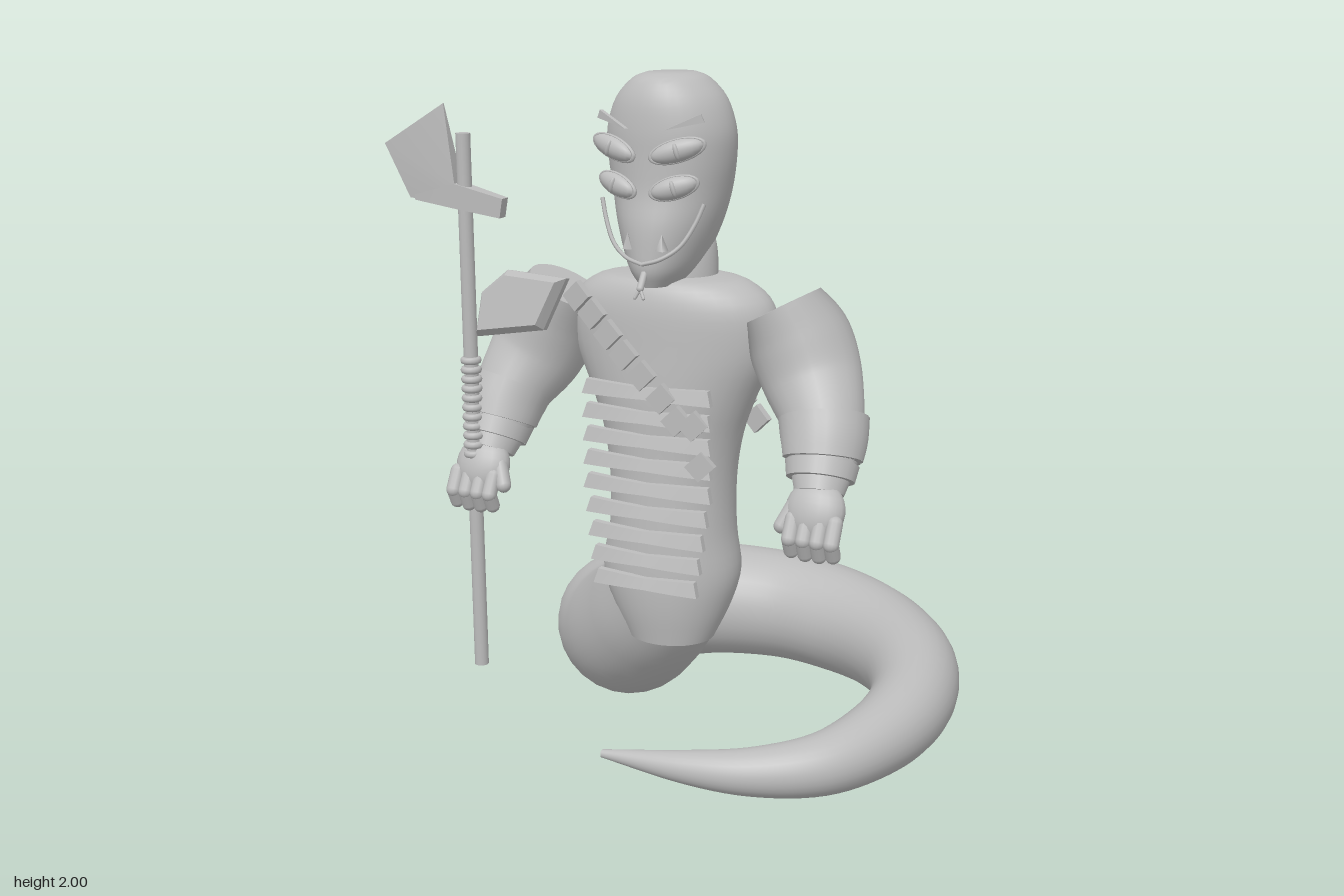
import * as THREE from 'three';
import { toCreasedNormals } from 'three/addons/utils/BufferGeometryUtils.js';
import { ConvexGeometry } from 'three/addons/geometries/ConvexGeometry.js';

const V = (x, y, z) => new THREE.Vector3(x, y, z);
const grey = new THREE.MeshStandardMaterial({ color: 0xbcbcbc });
grey.name = 'stoneGrey';

function part(name, geo, parent) {
  const m = new THREE.Mesh(geo, grey);
  m.name = name;
  parent.add(m);
  return m;
}

// Rings [y, cx, cz, rx, rz], top to bottom, as smooth curves
function makeProfile(rings) {
  const centre = new THREE.CatmullRomCurve3(rings.map(r => V(r[1], r[0], r[2])), false, 'catmullrom');
  const radius = new THREE.CatmullRomCurve3(rings.map(r => V(r[3], 0, r[4])), false, 'catmullrom');
  return t => ({ c: centre.getPoint(t), r: radius.getPoint(t) });
}

// Elliptical loft with flat end caps
function loft(profile, steps) {
  const geo = new THREE.CylinderGeometry(1, 1, 1, 36, steps);
  const p = geo.attributes.position;
  for (let i = 0; i < p.count; i++) {
    const { c, r } = profile(THREE.MathUtils.clamp(0.5 - p.getY(i), 0, 1));
    p.setXYZ(i, c.x + p.getX(i) * r.x, c.y, c.z + p.getZ(i) * r.z);
  }
  return toCreasedNormals(geo, 0.8);
}

// z of a loft's surface at x, y; side is 1 for front and -1 for back
function surfaceZ(profile, x, y, side = 1) {
  let a = 0, b = 1;
  for (let i = 0; i < 25; i++) {
    const m = (a + b) / 2;
    if (profile(m).c.y > y) a = m; else b = m;
  }
  const { c, r } = profile(a);
  return c.z + side * r.z * Math.sqrt(Math.max(0.02, 1 - ((x - c.x) / r.x) ** 2));
}

// Lay a mesh on a loft, facing outwards
function attach(mesh, profile, x, y, side, lift) {
  const e = 0.01, z = (u, v) => surfaceZ(profile, u, v, side);
  const n = V((z(x - e, y) - z(x + e, y)) / (2 * e), (z(x, y - e) - z(x, y + e)) / (2 * e), 1);
  n.multiplyScalar(side).normalize();
  mesh.position.set(x, y, z(x, y)).addScaledVector(n, lift);
  mesh.lookAt(mesh.position.clone().add(n));
}

// Round tube through points [x, y, z, radius] with discs on its ends
function taperTube(name, pts, steps, sides, parent) {
  const curve = new THREE.CatmullRomCurve3(pts.map(p => V(p[0], p[1], p[2])), false, 'catmullrom');
  const radii = new THREE.CatmullRomCurve3(pts.map(p => V(p[3], 0, 0)), false, 'catmullrom');
  const geo = new THREE.TubeGeometry(curve, steps, 1, sides);
  const p = geo.attributes.position, v = V(0, 0, 0);
  for (let i = 0; i < p.count; i++) {
    const u = Math.floor(i / (sides + 1)) / steps;
    const c = curve.getPointAt(u), r = radii.getPoint(curve.getUtoTmapping(u)).x;
    v.fromBufferAttribute(p, i).sub(c).multiplyScalar(r).add(c);
    p.setXYZ(i, v.x, v.y, v.z);
  }
  part(name, geo, parent);
  for (const u of [0, 1]) {
    const end = part(name + 'End', new THREE.CircleGeometry(pts[u ? pts.length - 1 : 0][3], sides), parent);
    end.position.copy(curve.getPointAt(u));
    end.lookAt(end.position.clone().addScaledVector(curve.getTangentAt(u), u ? 1 : -1));
  }
}

function capsule(name, a, b, r, parent) {
  const d = b.clone().sub(a);
  const m = part(name, new THREE.CapsuleGeometry(r, d.length(), 5, 12), parent);
  m.position.copy(a).addScaledVector(d, 0.5);
  m.quaternion.setFromUnitVectors(V(0, 1, 0), d.normalize());
}

function plate(points, depth) {
  const s = new THREE.Shape(points.map(p => new THREE.Vector2(p[0], p[1])));
  return new THREE.ExtrudeGeometry(s, { depth, bevelEnabled: false });
}

// Sharp-edged solid around points [x, y, z]
const solid = pts => toCreasedNormals(new ConvexGeometry(pts.map(p => V(...p))), 0.2);

export function createModel() {
  const model = new THREE.Group();
  model.name = 'serpentWarrior';

  // Torso, neck and head
  const torso = makeProfile([
    [1.44, 0, 0.26, 0.13, 0.1], [1.425, 0, 0.262, 0.23, 0.135], [1.36, 0, 0.26, 0.305, 0.16],
    [1.24, 0, 0.255, 0.312, 0.173], [1.1, 0, 0.265, 0.252, 0.17], [0.98, 0, 0.268, 0.21, 0.165],
    [0.85, 0, 0.272, 0.19, 0.162], [0.7, 0, 0.274, 0.19, 0.167], [0.57, -0.005, 0.273, 0.21, 0.172],
    [0.47, 0, 0.288, 0.182, 0.152], [0.37, 0.01, 0.312, 0.13, 0.112]]);
  part('torso', loft(torso, 40), model);
  part('neck', loft(makeProfile([[1.58, 0, 0.24, 0.03, 0.03], [1.555, 0, 0.24, 0.1, 0.08],
    [1.5, 0, 0.243, 0.12, 0.1], [1.38, 0, 0.25, 0.125, 0.105]]), 12), model);
  const head = makeProfile([
    [2.0, 0, 0.27, 0.07, 0.08], [1.983, 0, 0.27, 0.108, 0.115], [1.93, 0, 0.268, 0.157, 0.145],
    [1.85, 0, 0.268, 0.184, 0.157], [1.77, 0, 0.265, 0.183, 0.162], [1.68, 0, 0.263, 0.167, 0.169],
    [1.6, 0, 0.275, 0.146, 0.174], [1.53, 0, 0.29, 0.12, 0.165], [1.47, 0, 0.3, 0.092, 0.155],
    [1.425, 0, 0.305, 0.058, 0.13]]);
  part('head', loft(head, 36), model);

  // Coiled tail
  taperTube('tail', [
    [0, 0.62, 0.26, 0.14], [-0.02, 0.51, 0.235, 0.178], [-0.115, 0.375, 0.185, 0.197], [-0.24, 0.26, 0.08, 0.212],
    [-0.345, 0.215, -0.08, 0.212], [-0.32, 0.2, -0.26, 0.195], [-0.18, 0.195, -0.395, 0.187],
    [0.06, 0.19, -0.452, 0.178], [0.28, 0.185, -0.41, 0.17], [0.465, 0.183, -0.305, 0.157], [0.61, 0.18, -0.14, 0.142],
    [0.673, 0.16, 0.05, 0.125], [0.65, 0.135, 0.25, 0.11], [0.55, 0.112, 0.44, 0.09], [0.38, 0.095, 0.54, 0.07],
    [0.18, 0.085, 0.577, 0.048], [-0.09, 0.07, 0.572, 0.012]], 110, 28, model);

  // Eyes, brows, nostrils, mouth and forked tongue
  for (const s of [-1, 1]) {
    for (const [x, y, w] of [[0.095, 1.805, 0.075], [0.085, 1.705, 0.066]]) {
      const eye = new THREE.Group();
      eye.name = 'eye';
      const ball = part('eyeball', new THREE.SphereGeometry(1, 20, 12), eye);
      ball.scale.set(w, 0.03, 0.026);
      const lid = part('eyelid', new THREE.TorusGeometry(1, 0.1, 6, 24), eye);
      lid.scale.set(w, 0.03, 0.06);
      const pupil = part('pupil', new THREE.SphereGeometry(1, 10, 8), eye);
      pupil.scale.set(0.008, 0.023, 0.012);
      pupil.position.z = 0.021;
      eye.position.set(s * x, y, 0.435);
      eye.rotation.set(0, s * 0.3, s * 0.28);
      model.add(eye);
    }
    const brow = part('brow', plate(s > 0 ? [[-0.06, -0.022], [0.05, 0], [0.04, 0.022]]
      : [[0.06, -0.022], [-0.04, 0.022], [-0.05, 0]], 0.012), model);
    brow.position.set(s * 0.11, 1.88, 0.41);
    brow.rotation.y = s * 0.35;
    const nostril = part('nostril', new THREE.ConeGeometry(0.018, 0.045, 4), model);
    attach(nostril, head, s * 0.05, 1.555, 1, 0.004);
    const lip = [[0.155, 1.66], [0.135, 1.605], [0.1, 1.545], [0.05, 1.51], [0, 1.495]]
      .map(([x, y]) => V(s * x, y, 0.465 - 3 * x * x));
    part('mouth', new THREE.TubeGeometry(new THREE.CatmullRomCurve3(lip), 20, 0.006, 6), model);
    capsule('tongueFork', V(0, 1.43, 0.475), V(s * 0.013, 1.405, 0.482), 0.005, model);
  }
  capsule('tongue', V(0, 1.48, 0.44), V(0, 1.43, 0.475), 0.01, model);

  // Belly slats, slimmer in the middle
  for (let i = 0; i < 9; i++) {
    const y = 1.128 - i * 0.07, half = 0.2 - Math.max(0, i - 4) * 0.009;
    const geo = new THREE.BoxGeometry(2, 0.042, 0.02, 10, 1, 1), p = geo.attributes.position;
    for (let k = 0; k < p.count; k++) {
      const up = p.getY(k) > 0, u = p.getX(k), x = u * (up ? half - 0.012 : half);
      p.setXYZ(k, x - 0.005, p.getY(k) * (0.75 + 0.25 * Math.abs(u)) + y,
        p.getZ(k) + surfaceZ(torso, 0, y) + (up ? 0.006 : 0.016) - 0.4 * x * x);
    }
    part('bellySlat', toCreasedNormals(geo, 0.5), model);
  }

  // Spine slats
  for (let i = 0; i < 10; i++) {
    const slat = part('spineSlat', new THREE.BoxGeometry(0.1, 0.036, 0.022), model);
    attach(slat, torso, 0, 1.3 - i * 0.069, -1, 0.008);
    slat.rotateX(-0.35);
  }

  // Shoulder belt, nearly flat across the chest and the back
  const beltPiece = (x, y, side) => {
    const b = part('beltPlate', new THREE.BoxGeometry(0.058, 0.066, 0.022), model);
    b.position.set(x, y, side > 0 ? 0.452 - 0.3 * x * x : 0.078 + 0.5 * x * x);
    b.rotation.set(0, x * (side > 0 ? 0.6 : -1), -0.8);
  };
  for (const [x, y] of [[-0.215, 1.386], [-0.165, 1.34], [-0.115, 1.286], [-0.065, 1.233], [-0.01, 1.18],
    [0.05, 1.12], [0.095, 1.06], [0.145, 1.05], [0.165, 0.935]]) beltPiece(x, y, 1);
  for (const [x, y] of [[-0.195, 1.35], [-0.15, 1.305], [-0.105, 1.26], [0.09, 1.09], [0.14, 1.04], [0.19, 0.99]])
    beltPiece(x, y, -1);

  // Arms, cuffs and hands, mirrored
  for (const s of [1, -1]) {
    const arm = new THREE.Group();
    arm.name = s > 0 ? 'leftArm' : 'rightArm';
    taperTube('upperArm', [[0.34, 1.375, 0.275, 0.115], [0.388, 1.285, 0.275, 0.145], [0.435, 1.18, 0.288, 0.14],
      [0.485, 1.08, 0.335, 0.116], [0.505, 1.0, 0.38, 0.1], [0.515, 0.9, 0.435, 0.068]], 30, 26, arm);
    taperTube('cuff', [[0.492, 1.085, 0.345, 0.125], [0.503, 1.035, 0.37, 0.12], [0.508, 0.985, 0.392, 0.11]],
      6, 26, arm);
    taperTube('lowerCuff', [[0.508, 0.985, 0.392, 0.104], [0.512, 0.935, 0.418, 0.094]], 4, 26, arm);
    const palm = part('palm', new THREE.SphereGeometry(1, 20, 14), arm);
    palm.scale.set(0.085, 0.085, 0.05);
    palm.position.set(0.52, 0.865, 0.475);
    palm.rotation.x = -0.4;
    for (let i = 0; i < 4; i++) {
      const x = 0.468 + i * 0.04, drop = i === 0 || i === 3 ? 0.005 : 0;
      capsule('finger', V(x, 0.845, 0.505), V(x, 0.795, 0.532), 0.022, arm);
      capsule('fingertip', V(x, 0.795, 0.532), V(x, 0.752 + drop, 0.515), 0.021, arm);
    }
    capsule('thumb', V(0.46, 0.875, 0.48), V(0.435, 0.82, 0.505), 0.022, arm);
    arm.scale.x = s;
    model.add(arm);
  }

  // Bevelled shoulder plate
  const outline = [[-0.13, 0.02], [-0.05, 0.09], [0.14, 0.08], [0.08, -0.07], [-0.14, -0.108]];
  const guard = part('shoulderPlate', solid(outline.flatMap(([x, y]) =>
    [[x, y, 0], [x, y, 0.02], [x * 0.85, y * 0.82, 0.05]])), model);
  guard.position.set(-0.39, 1.35, 0.435);
  guard.rotation.x = -0.2;

  // Axe
  const axe = new THREE.Group();
  axe.name = 'axe';
  axe.position.set(-0.54, 0, 0.49);
  part('shaft', new THREE.CylinderGeometry(0.021, 0.021, 1.59, 16), axe).position.y = 1.035;
  for (let i = 0; i < 11; i++) {
    const ring = part('gripRing', new THREE.TorusGeometry(0.02, 0.011, 8, 18), axe);
    ring.rotation.x = Math.PI / 2;
    ring.position.y = 0.9 + i * 0.028;
  }
  const both = pts => pts.flatMap(([x, y, z]) => [[x, y, z], [x, y, -z]]);
  part('blade', solid(both([[-0.26, 1.79, 0.002], [-0.06, 1.91, 0.002], [-0.18, 1.64, 0.004],
    [-0.02, 1.69, 0.022], [-0.02, 1.63, 0.022]])), axe);
  part('spike', solid(both([[-0.16, 1.65, 0.01], [-0.16, 1.635, 0.01], [-0.02, 1.69, 0.026],
    [-0.02, 1.62, 0.026], [0.13, 1.655, 0.016], [0.12, 1.6, 0.016]])), axe);
  model.add(axe);

  return model;
}
